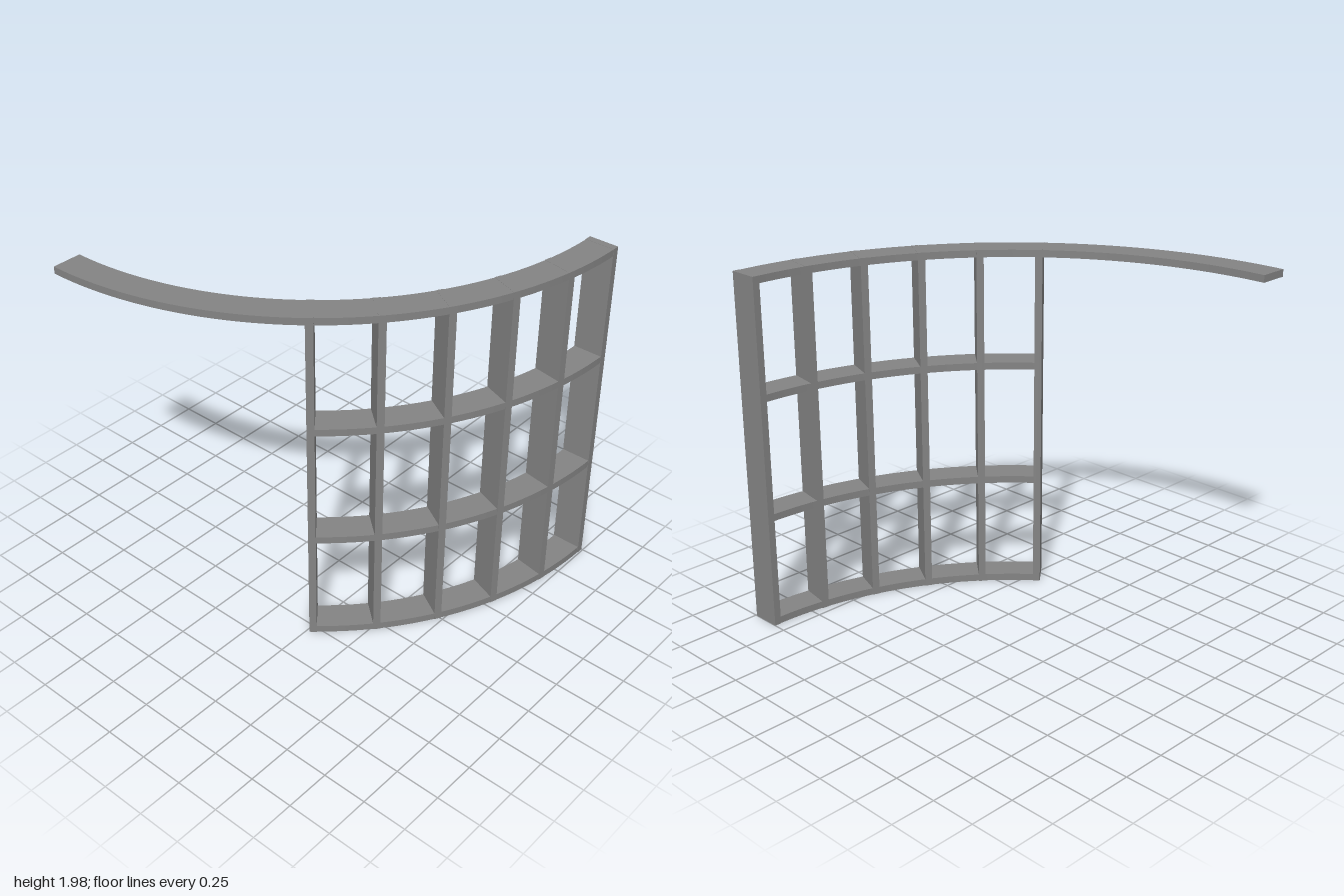
import * as THREE from 'three';
import { toCreasedNormals } from 'three/addons/utils/BufferGeometryUtils.js';

const CX = 0.98, CZ = -0.99;        // centre of the curved wall
const R_OUT = 1.98, R_IN = 1.815;   // outer and inner radius
const HEIGHT = 1.98, T = 0.04;      // wall height, timber thickness
const DEG = Math.PI / 180;

// Curved flat rail sweeping from the +x end towards the -x end
function railGeometry(sweep) {
  const start = -Math.PI / 2, end = start - sweep * DEG;
  const shape = new THREE.Shape();
  shape.absarc(0, 0, R_OUT, start, end, true);
  shape.absarc(0, 0, R_IN, end, start, false);
  shape.closePath();
  const geo = new THREE.ExtrudeGeometry(shape, {
    depth: T, bevelEnabled: false, curveSegments: 48,
  });
  geo.rotateX(-Math.PI / 2);
  return toCreasedNormals(geo, 0.5);
}

export function createModel() {
  const group = new THREE.Group();
  group.name = 'curvedWallFrame';
  const material = new THREE.MeshStandardMaterial({ color: 0x848484 });

  const add = (name, geometry, x, y, z) => {
    const mesh = new THREE.Mesh(geometry, material);
    mesh.name = name;
    mesh.position.set(x, y, z);
    group.add(mesh);
    return mesh;
  };

  // Top plate runs the full quarter circle
  add('topPlate', railGeometry(90), CX, HEIGHT - T, CZ);

  // Bottom plate and the two middle rails stop at the last stud
  const lower = railGeometry(50);
  add('bottomPlate', lower, CX, 0, CZ);
  add('lowerRail', lower, CX, 0.62, CZ);
  add('upperRail', lower, CX, 1.302, CZ);

  // Upright studs every ten degrees, facing the centre and a hair proud of the rails
  const stud = new THREE.BoxGeometry(T, HEIGHT + 0.002, R_OUT - R_IN + 0.003);
  const r = (R_OUT + R_IN) / 2;
  for (let i = 0; i <= 5; i++) {
    const a = i * 10 * DEG;
    const mesh = add(`stud${i + 1}`, stud, CX - r * Math.sin(a), HEIGHT / 2, CZ + r * Math.cos(a));
    mesh.rotation.y = -a;
  }
  return group;
}
